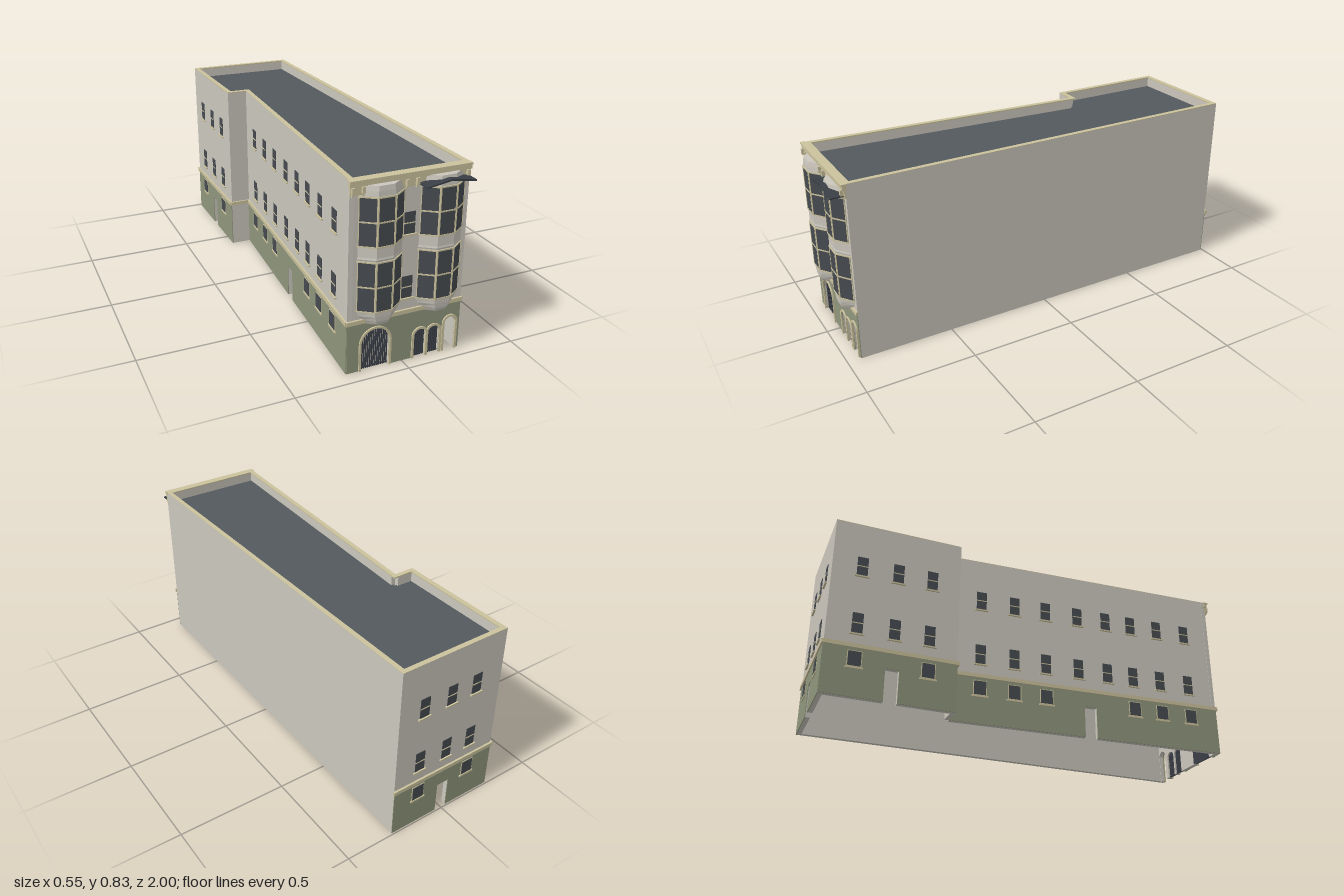
import * as THREE from 'three';

const mat = (name, color, side = THREE.FrontSide) => {
  const m = new THREE.MeshStandardMaterial({ color, side });
  m.name = name;
  return m;
};
const M = {
  wall: mat('pale render', 0xcbc7bd),
  green: mat('sage green', 0x8f967c),
  trim: mat('cream trim', 0xcbc29d),
  roof: mat('slate roof', 0x54595d),
  glass: mat('dark glass', 0x464b50),
  iron: mat('dark iron', 0x3a3f46),
};
const T = 0.02, H = 0.828, BASE = 0.22, ROOF = 0.78;

function add(parent, name, geo, material) {
  const mesh = new THREE.Mesh(geo, material);
  mesh.name = name;
  parent.add(mesh);
  return mesh;
}
// box given by its limits on each axis
function box(parent, name, material, x0, x1, y0, y1, z0, z1) {
  const m = add(parent, name, new THREE.BoxGeometry(x1 - x0, y1 - y0, z1 - z0), material);
  m.position.set((x0 + x1) / 2, (y0 + y1) / 2, (z0 + z1) / 2);
  return m;
}
const extrude = (shape, depth) =>
  new THREE.ExtrudeGeometry(shape, { depth, bevelEnabled: false, curveSegments: 14 });

// group whose local x runs from a to b (plan points) and whose local z points outward
function facade(parent, name, a, b) {
  const g = new THREE.Group();
  g.name = name;
  g.position.set(a[0], 0, a[1]);
  g.rotation.y = Math.atan2(a[1] - b[1], b[0] - a[0]);
  g.userData.length = Math.hypot(b[0] - a[0], b[1] - a[1]);
  parent.add(g);
  return g;
}

// trace an opening from the ground up and back down, left to right
function traceOpening(s, { u, r, top, arch }) {
  s.lineTo(u - r, 0);
  if (arch) {
    s.lineTo(u - r, top - r);
    s.absarc(u, top - r, r, Math.PI, 0, true);
  } else {
    s.lineTo(u - r, top);
    s.lineTo(u + r, top);
  }
  s.lineTo(u + r, 0);
}
function wallShape(L, height, openings) {
  const s = new THREE.Shape();
  s.moveTo(0, 0);
  openings.forEach(o => traceOpening(s, o));
  s.lineTo(L, 0);
  s.lineTo(L, height);
  s.lineTo(0, height);
  s.closePath();
  return s;
}

function buildWall(parent, name, a, b, openings = [], painted = true) {
  const g = facade(parent, name, a, b), L = g.userData.length;
  add(g, 'wall', extrude(wallShape(L, H, openings), T), M.wall).position.z = -T;
  if (painted) {
    add(g, 'groundFloorPaint', extrude(wallShape(L, BASE, openings), 0.003), M.green);
    box(g, 'beltCourse', M.trim, -0.006, L + 0.004, BASE, 0.238, 0, 0.009);
  }
  // door leaves facing indoors
  openings.filter(o => o.leaf).forEach(o => {
    const leaf = add(g, 'doorLeaf', new THREE.PlaneGeometry(o.r * 2, o.top), M.iron);
    leaf.rotation.y = Math.PI;
    leaf.position.set(o.u, o.top / 2, -T - 0.002);
  });
  return g;
}

// sash window with sill and middle rail
function sash(g, u, y0, y1, w = 0.048) {
  box(g, 'windowGlass', M.glass, u - w / 2, u + w / 2, y0, y1, -0.002, 0.002);
  const ym = (y0 + y1) / 2;
  box(g, 'windowRail', M.trim, u - w / 2, u + w / 2, ym - 0.002, ym + 0.002, 0, 0.004);
  box(g, 'windowSill', M.trim, u - w / 2 - 0.008, u + w / 2 + 0.008, y0 - 0.008, y0 - 0.001, 0, 0.008);
}
function upperSashes(g, us) {
  us.forEach(u => { sash(g, u, 0.29, 0.386); sash(g, u, 0.57, 0.662); });
}
function groundWindow(g, u) {
  const w = 0.028;
  box(g, 'groundWindowFrame', M.trim, u - w - 0.004, u + w + 0.004, 0.134, 0.207, 0.001, 0.005);
  box(g, 'groundWindowGlass', M.glass, u - w, u + w, 0.138, 0.203, 0.002, 0.007);
  box(g, 'groundWindowSill', M.trim, u - w - 0.01, u + w + 0.01, 0.126, 0.134, 0, 0.008);
}

// arched surround around an opening
function surround(g, o, t) {
  const s = new THREE.Shape(), c = o.top - o.r, R = o.r + t;
  s.moveTo(o.u - R, 0);
  s.lineTo(o.u - o.r, 0);
  s.lineTo(o.u - o.r, c);
  s.absarc(o.u, c, o.r, Math.PI, 0, true);
  s.lineTo(o.u + o.r, 0);
  s.lineTo(o.u + R, 0);
  s.lineTo(o.u + R, c);
  s.absarc(o.u, c, R, 0, Math.PI, false);
  s.closePath();
  add(g, 'archSurround', extrude(s, 0.009), M.trim);
}
// upright bars cut to the arch, plus level rails
function grille(g, o, n, w, rails) {
  const c = o.top - o.r;
  for (let i = 0; i < n; i++) {
    const d = ((i + 0.5) / n * 2 - 1) * o.r;
    box(g, 'grilleBar', M.iron, o.u + d - w / 2, o.u + d + w / 2, 0, c + Math.sqrt(o.r * o.r - d * d), -0.012, -0.007);
  }
  rails.forEach(y => box(g, 'grilleRail', M.iron, o.u - o.r, o.u + o.r, y - 0.002, y + 0.002, -0.013, -0.006));
}

// bay plan, and a loft of it through levels [y, width scale, depth scale]
const bayPlan = [[-0.097, 0], [-0.037, 0.043], [0.037, 0.043], [0.097, 0]];
function loft(levels) {
  const p = [];
  const pt = (l, i) => [bayPlan[i][0] * l[1], l[0], bayPlan[i][1] * l[2]];
  const tri = (a, b, c) => p.push(...a, ...b, ...c);
  for (let k = 0; k + 1 < levels.length; k++) {
    const lo = levels[k], hi = levels[k + 1];
    for (let i = 0; i < 3; i++) {
      tri(pt(lo, i), pt(lo, i + 1), pt(hi, i + 1));
      tri(pt(lo, i), pt(hi, i + 1), pt(hi, i));
    }
  }
  const bot = levels[0], top = levels[levels.length - 1];
  for (const i of [1, 2]) {
    tri(pt(top, 0), pt(top, i), pt(top, i + 1));
    tri(pt(bot, 0), pt(bot, i + 1), pt(bot, i));
  }
  const g = new THREE.BufferGeometry();
  g.setAttribute('position', new THREE.Float32BufferAttribute(p, 3));
  g.computeVertexNormals();
  return g;
}
function buildBay(parent, x) {
  const g = new THREE.Group();
  g.name = 'bayWindow';
  g.position.set(x, 0, 0.935);
  parent.add(g);
  add(g, 'bayBody', loft([[0.214, 0.6, 0.7], [0.222, 0.66, 0.85], [0.234, 0.76, 0.93], [0.255, 0.92, 0.98], [0.278, 1, 1],
    [0.498, 1, 1], [0.504, 1.03, 1.04], [0.512, 1, 1], [0.765, 1, 1], [0.785, 0.95, 0.97], [0.805, 0.88, 0.9]]), M.wall);
  for (const y of [0.276, 0.49, 0.555, 0.757])
    add(g, 'bayMoulding', loft([[y, 1.05, 1.1], [y + 0.006, 1.05, 1.1]]), M.trim);
  for (let i = 0; i < 3; i++) {
    const f = facade(g, 'bayFace', bayPlan[i], bayPlan[i + 1]), L = f.userData.length;
    for (const [y0, y1] of [[0.282, 0.49], [0.561, 0.757]]) {
      const ym = (y0 + y1) / 2;
      box(f, 'bayGlass', M.glass, 0.002, L - 0.002, y0, y1, 0, 0.002);
      box(f, 'bayTransom', M.trim, 0, L, ym - 0.003, ym + 0.003, 0, 0.004);
      for (const u of [0, L - 0.004]) box(f, 'bayMullion', M.trim, u, u + 0.004, y0, y1, 0, 0.004);
    }
  }
}

// plan outline moved inward by d
function inset(pts, d) {
  const n = pts.length;
  const dir = (a, b) => {
    const l = Math.hypot(b[0] - a[0], b[1] - a[1]);
    return [(b[0] - a[0]) / l, (b[1] - a[1]) / l];
  };
  return pts.map((p, i) => {
    const e = dir(pts[(i + n - 1) % n], p), f = dir(p, pts[(i + 1) % n]);
    const k = d / (1 + e[0] * f[0] + e[1] * f[1]);
    return [p[0] + (e[1] + f[1]) * k, p[1] - (e[0] + f[0]) * k];
  });
}
const planPath = (pts, C = THREE.Shape) => new C(pts.map(p => new THREE.Vector2(p[0], -p[1])));
function slab(parent, name, shape, y0, h, material) {
  const m = add(parent, name, extrude(shape, h), material);
  m.rotation.x = -Math.PI / 2;
  m.position.y = y0;
}

export function createModel() {
  const model = new THREE.Group();
  model.name = 'townBuilding';
  const A = [0.27, 0.935], B = [-0.252, 0.935], C = [-0.17, -0.41];
  const D = [-0.265, -0.41], E = [-0.265, -0.99], F = [0.27, -0.99];

  // front wall with gate, paired arched windows and door
  const X = x => x - B[0];
  const gate = { u: X(-0.126), r: 0.064, top: 0.183, arch: true, leaf: true };
  const arches = [0.081, 0.145].map(x => ({ u: X(x), r: 0.028, top: 0.131, arch: true }));
  const door = { u: X(0.222), r: 0.026, top: 0.156, arch: true };
  const front = buildWall(model, 'frontWall', B, A, [gate, ...arches, door]);
  surround(front, gate, 0.009);
  grille(front, gate, 15, 0.0048, [0.006]);
  arches.forEach(o => { surround(front, o, 0.01); grille(front, o, 6, 0.0068, [0.006, 0.065, 0.1]); });
  surround(front, door, 0.01);
  upperSashes(front, [X(0.01)]);

  // plain party wall and the short return wall
  buildWall(model, 'partyWall', A, F, [], false);
  const ret = buildWall(model, 'returnWall', D, C, [], false);
  box(ret, 'beltCourse', M.trim, -0.006, 0.095, BASE, 0.238, 0, 0.009);

  // rear wall
  const rearDoor = { u: 0.268, r: 0.03, top: 0.145, leaf: true };
  const rear = buildWall(model, 'rearWall', F, E, [rearDoor]);
  upperSashes(rear, [0.126, 0.268, 0.4]);
  [0.126, 0.4].forEach(u => groundWindow(rear, u));

  // side wall, rear wing
  const wing = buildWall(model, 'wingWall', E, D, [{ u: 0.294, r: 0.03, top: 0.15, leaf: true }]);
  upperSashes(wing, [0.132, 0.294, 0.45]);
  [0.132, 0.45].forEach(u => groundWindow(wing, u));

  // long slanted side wall
  const side = buildWall(model, 'sideWall', C, B, [{ u: 0.675, r: 0.03, top: 0.15, leaf: true }]);
  const bays = [0.137, 0.3, 0.456, 0.62, 0.77, 0.905, 1.05, 1.205];
  upperSashes(side, bays);
  bays.filter((u, i) => i !== 3 && i !== 4).forEach(u => groundWindow(side, u));

  // roof deck and parapet coping
  const plan = [A, B, C, D, E, F].reverse();
  const inner = inset(plan, -0.01)[0][0] < plan[0][0] ? -1 : 1;
  slab(model, 'roofDeck', planPath(inset(plan, inner * 0.01)), ROOF - 0.01, 0.01, M.roof);
  const coping = planPath(plan);
  coping.holes.push(planPath(inset(plan, inner * 0.022), THREE.Path));
  slab(model, 'parapetCoping', coping, H - 0.004, 0.006, M.trim);

  // front cornice, frieze and brackets
  box(model, 'frieze', M.trim, -0.252, 0.27, 0.768, 0.803, 0.93, 0.941);
  box(model, 'cornice', M.trim, -0.256, 0.271, 0.803, 0.822, 0.93, 0.948);
  box(model, 'corniceCap', M.trim, -0.258, 0.272, 0.822, 0.83, 0.93, 0.953);
  for (const x of [-0.244, -0.2, -0.014, 0.03, 0.255]) {
    box(model, 'corniceBracket', M.trim, x - 0.006, x + 0.006, 0.777, 0.803, 0.935, 0.955);
    box(model, 'bracketFoot', M.trim, x - 0.004, x + 0.004, 0.764, 0.777, 0.935, 0.947);
  }

  buildBay(model, -0.116);
  buildBay(model, 0.152);

  // shallow gabled canopy over one bay
  const gable = new THREE.Shape([[-0.11, 0.772], [0, 0.789], [0.11, 0.772], [0.11, 0.778], [0, 0.796], [-0.11, 0.778]]
    .map(p => new THREE.Vector2(...p)));
  add(model, 'canopy', extrude(gable, 0.06), M.iron).position.set(0.15, 0, 0.94);
  return model;
}
